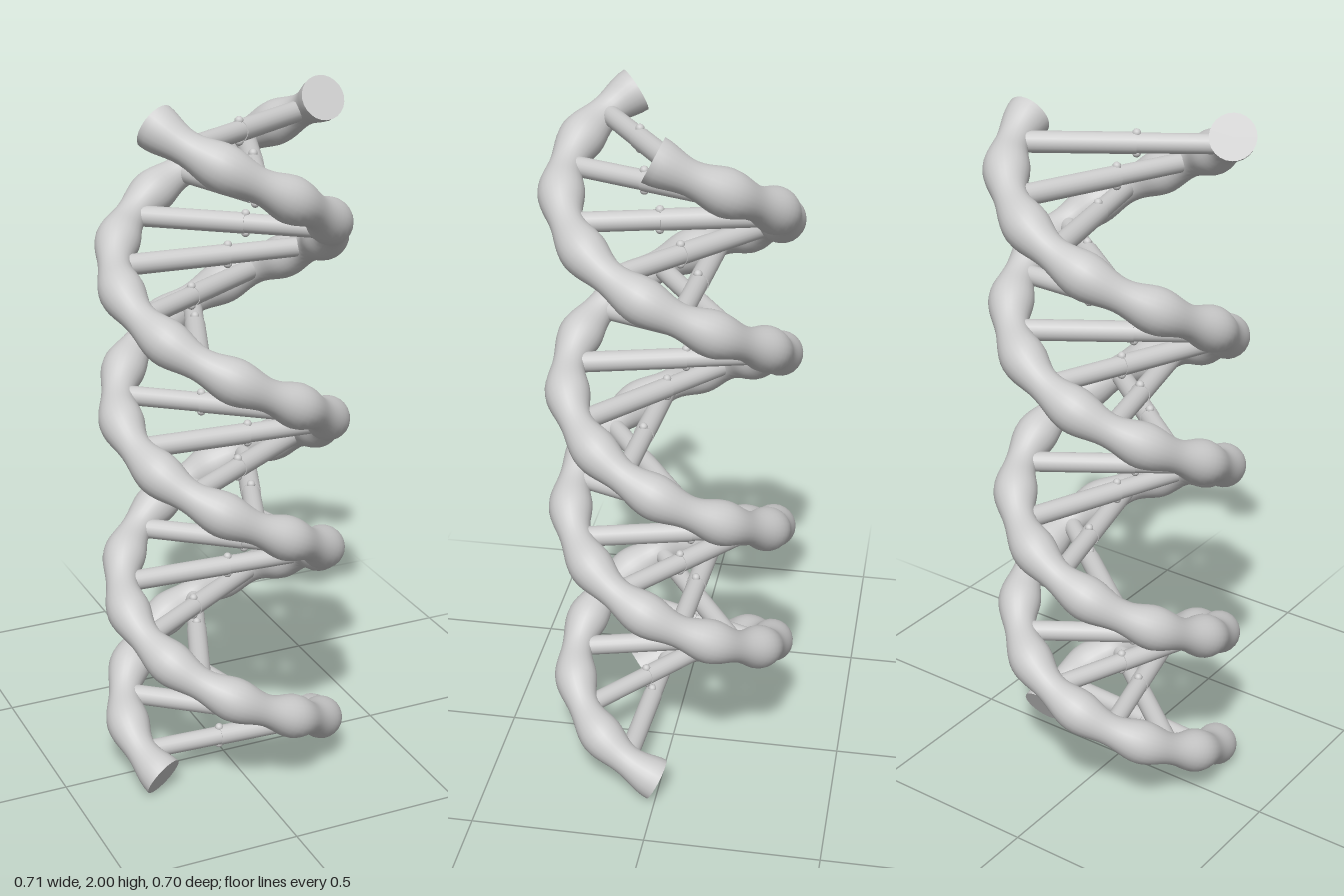
import * as THREE from 'three';
import { mergeVertices } from 'three/addons/utils/BufferGeometryUtils.js';

const R = 0.293;              // helix radius
const Y0 = 0.057;             // height of the strand start
const RISE = 2 - 2 * Y0;      // height covered by the strands
const TURNS = 2;
const RUNGS = 20;
const PHASE = THREE.MathUtils.degToRad(150); // angle between the strands

class Helix extends THREE.Curve {
  constructor(phase) {
    super();
    this.phase = phase;
  }
  getPoint(t, out = new THREE.Vector3()) {
    const a = this.phase + t * TURNS * Math.PI * 2;
    return out.set(R * Math.cos(a), Y0 + RISE * t, R * Math.sin(a));
  }
}

// radius swells once per rung interval
const strandRadius = (t) => 0.054 + 0.0085 * Math.cos(t * RUNGS * Math.PI * 2);

function makeStrand(curve, name, mat) {
  const group = new THREE.Group();
  group.name = name;
  const segs = 240, sides = 24;
  let geo = new THREE.TubeGeometry(curve, segs, 1, sides, false);
  const pos = geo.attributes.position;
  const v = new THREE.Vector3();
  for (let i = 0; i <= segs; i++) {
    const c = curve.getPointAt(i / segs);
    for (let j = 0; j <= sides; j++) {
      const k = i * (sides + 1) + j;
      v.fromBufferAttribute(pos, k).sub(c).multiplyScalar(strandRadius(i / segs)).add(c);
      pos.setXYZ(k, v.x, v.y, v.z);
    }
  }
  geo.deleteAttribute('uv');
  geo.deleteAttribute('normal');
  geo = mergeVertices(geo, 1e-5);
  geo.computeVertexNormals();
  const tube = new THREE.Mesh(geo, mat);
  tube.name = name + 'Tube';
  group.add(tube);

  // flat end caps, square to the strand
  for (const t of [0, 1]) {
    const cap = new THREE.Mesh(new THREE.CircleGeometry(strandRadius(t), sides), mat);
    const p = curve.getPoint(t);
    const dir = curve.getTangent(t).multiplyScalar(t ? 1 : -1);
    cap.position.copy(p);
    cap.lookAt(p.clone().add(dir));
    cap.name = name + 'Cap';
    group.add(cap);
  }
  return group;
}

function makeBar(a, b, radius, name, mat) {
  const dir = b.clone().sub(a);
  const mesh = new THREE.Mesh(new THREE.CylinderGeometry(radius, radius, dir.length(), 20), mat);
  mesh.position.copy(a).add(b).multiplyScalar(0.5);
  mesh.quaternion.setFromUnitVectors(new THREE.Vector3(0, 1, 0), dir.normalize());
  mesh.name = name;
  return mesh;
}

export function createModel() {
  const model = new THREE.Group();
  model.name = 'doubleHelix';
  const mat = new THREE.MeshStandardMaterial({ color: 0xcccccc });

  // two winding backbones
  const helixA = new Helix(0), helixB = new Helix(PHASE);
  model.add(makeStrand(helixA, 'firstStrand', mat), makeStrand(helixB, 'secondStrand', mat));

  // rungs, each a long and a short half meeting at a beaded joint
  const flipped = [1, 4, 7, 10, 14];
  for (let i = 0; i < RUNGS; i++) {
    const rung = new THREE.Group();
    rung.name = 'rung';
    const t = (i + 0.5) / RUNGS;
    const a = helixA.getPoint(t), b = helixB.getPoint(t);
    const flip = flipped.includes(i);
    const joint = a.clone().lerp(b, flip ? 0.425 : 0.575);
    rung.add(
      makeBar(a, joint, flip ? 0.027 : 0.029, 'rungInnerHalf', mat),
      makeBar(joint, b, flip ? 0.029 : 0.027, 'rungOuterHalf', mat)
    );
    for (const s of [-1, 1]) {
      const bead = new THREE.Mesh(new THREE.SphereGeometry(0.012, 14, 10), mat);
      bead.position.copy(joint);
      bead.position.y += s * 0.027;
      bead.name = 'jointBead';
      rung.add(bead);
    }
    model.add(rung);
  }
  return model;
}
